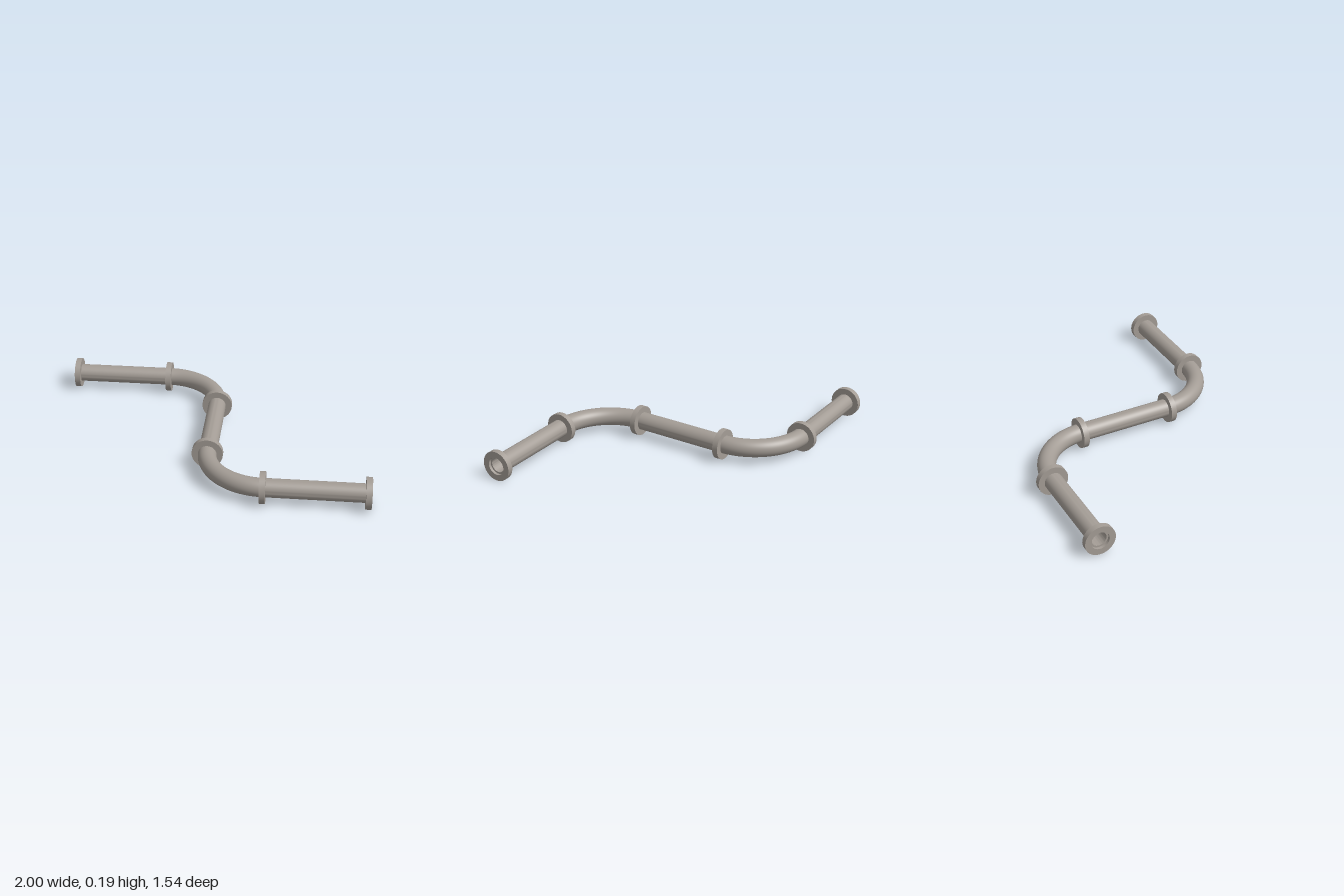
import * as THREE from 'three';
import { toCreasedNormals } from 'three/addons/utils/BufferGeometryUtils.js';

const AXIS_Y = 0.096;      // height of the pipe centre line
const OUTER = 0.057;       // pipe outer radius
const INNER = 0.046;       // pipe bore radius
const FLANGE = 0.096;      // flange radius
const THICK = 0.036;       // flange thickness
const BEND = 0.362;        // bend radius
const RUN = 0.62;          // length of each straight run
const HALF = RUN / 2;

// hollow cylinder with sharp rims, along x or z
function ring(outer, inner, length, axis) {
  const h = length / 2;
  const profile = [[outer, -h], [outer, h], [inner, h], [inner, -h], [outer, -h]]
    .map(([r, y]) => new THREE.Vector2(r, y));
  const geo = toCreasedNormals(new THREE.LatheGeometry(profile, 48), 0.6);
  return axis === 'x' ? geo.rotateZ(Math.PI / 2) : geo.rotateX(Math.PI / 2);
}

// quarter torus from +z round to -x
function quarterBend(radius) {
  return new THREE.TorusGeometry(BEND, radius, 48, 32, Math.PI / 2)
    .rotateX(Math.PI / 2).rotateY(-Math.PI / 2);
}

export function createModel() {
  const metal = new THREE.MeshStandardMaterial({ color: 0xa39c95, side: THREE.DoubleSide });
  metal.name = 'warm grey metal';

  const model = new THREE.Group();
  model.name = 'pipeRun';

  const add = (parent, name, geo, x, z) => {
    const mesh = new THREE.Mesh(geo, metal);
    mesh.name = name;
    mesh.position.set(x, AXIS_Y, z);
    parent.add(mesh);
  };

  // middle run
  add(model, 'middlePipe', ring(OUTER, INNER, RUN, 'z'), 0, 0);

  // each half: bend, outer run and three flanges; the back half is turned half round
  const zRun = HALF + BEND;
  ['front', 'back'].forEach((side, i) => {
    const half = new THREE.Group();
    half.name = side + 'Half';
    half.rotation.y = i * Math.PI;
    add(half, side + 'Bend', quarterBend(OUTER), BEND, HALF);
    add(half, side + 'BendBore', quarterBend(INNER), BEND, HALF);
    add(half, side + 'Pipe', ring(OUTER, INNER, RUN, 'x'), BEND + HALF, zRun);
    add(half, side + 'MiddleFlange', ring(FLANGE, OUTER, THICK, 'z'), 0, HALF);
    add(half, side + 'BendFlange', ring(FLANGE, OUTER, THICK, 'x'), BEND, zRun);
    add(half, side + 'EndFlange', ring(FLANGE, OUTER, THICK, 'x'), BEND + RUN, zRun);
    model.add(half);
  });

  return model;
}
